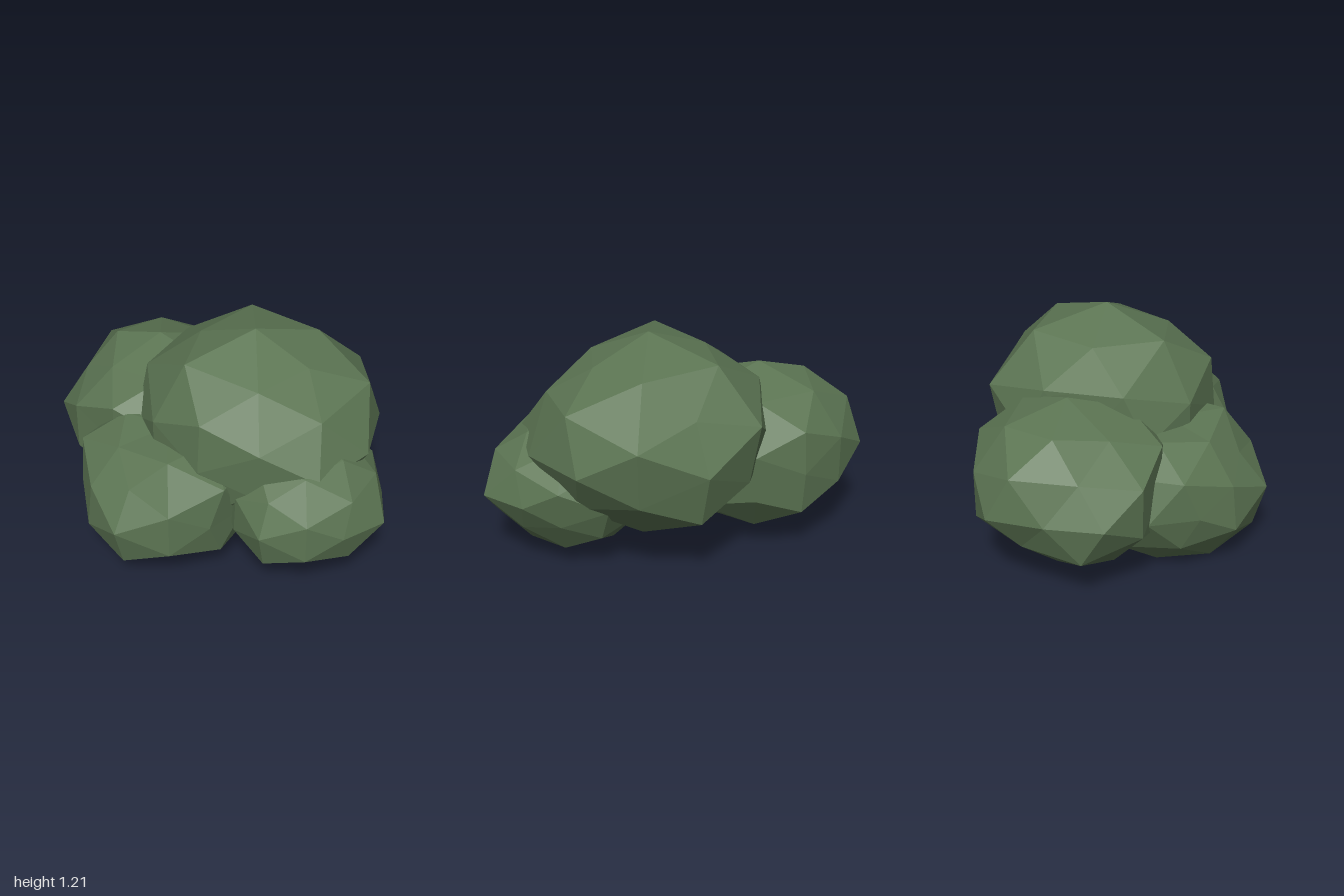
import * as THREE from 'three';

const leafGreen = new THREE.MeshStandardMaterial({ color: 0x5c7553 });
leafGreen.name = 'leafGreen';

const SQUASH = 0.8; // every clump is a little flatter than it is wide

// A faceted clump: a 42-corner ball whose corners are pulled in or out.
// Each bump is [direction x, y, z, radius]; all other corners keep the base radius.
function clump(name, centre, base, bumps) {
  const geometry = new THREE.IcosahedronGeometry(1, 1);
  const pulls = bumps.map(([x, y, z, r]) => ({ dir: new THREE.Vector3(x, y, z).normalize(), r }));
  const pos = geometry.attributes.position;
  const v = new THREE.Vector3();
  for (let i = 0; i < pos.count; i++) {
    v.fromBufferAttribute(pos, i).normalize();
    const pull = pulls.find((p) => p.dir.dot(v) > 0.97);
    v.multiplyScalar(pull ? pull.r : base);
    pos.setXYZ(i, v.x, v.y * SQUASH, v.z);
  }
  geometry.computeVertexNormals(); // unshared corners give flat facets
  const mesh = new THREE.Mesh(geometry, leafGreen);
  mesh.name = name;
  mesh.position.set(...centre);
  return mesh;
}

export function createModel() {
  const bush = new THREE.Group();
  bush.name = 'bush';

  // Tall clump in the middle
  bush.add(clump('mainClump', [0.13, 0.67, -0.14], 0.63, [
    [0, 1, 0, 0.685], [1, 0, 0, 0.68], [-1, 0, 0, 0.55], [0, 0, 1, 0.59], [0, 0, -1, 0.65],
    [-0.31, 0.81, 0.5, 0.7], [0.31, 0.81, 0.5, 0.6],
    [-0.31, 0.81, -0.5, 0.69], [0.31, 0.81, -0.5, 0.66],
    [0.53, 0.85, 0, 0.6],
    [0, 0.53, 0.85, 0.665], [0, 0.53, -0.85, 0.6], [0, -0.53, -0.85, 0.68],
    [0.81, 0.5, 0.31, 0.61], [0.81, 0.5, -0.31, 0.7],
    [-0.81, 0.5, 0.31, 0.67], [-0.81, 0.5, -0.31, 0.67],
    [0.5, 0.31, 0.81, 0.6], [0.5, -0.31, 0.81, 0.58],
    [0.5, 0.31, -0.81, 0.7], [-0.5, 0.31, -0.81, 0.69],
    [0.85, 0, -0.53, 0.68], [0.85, 0, 0.53, 0.68],
  ]));

  // Clump at the back on the model's right
  bush.add(clump('rightClump', [-0.5, 0.5, -0.2], 0.55, [
    [0, 1, 0, 0.575], [-1, 0, 0, 0.5], [0, 0, 1, 0.48], [0, 0, -1, 0.49], [0, -1, 0, 0.565],
    [-0.81, 0.5, 0.31, 0.49], [-0.81, 0.5, -0.31, 0.57],
    [-0.81, -0.5, 0.31, 0.555], [-0.81, -0.5, -0.31, 0.48],
    [-0.85, 0, 0.53, 0.565], [-0.85, 0, -0.53, 0.565],
    [-0.53, -0.85, 0, 0.5], [-0.31, -0.81, -0.5, 0.5],
    [-0.31, 0.81, 0.5, 0.5], [0, 0.53, 0.85, 0.57],
    [-0.5, 0.31, -0.81, 0.52], [-0.5, -0.31, -0.81, 0.52],
    [0.5, -0.31, -0.81, 0.52], [0.85, 0, -0.53, 0.48],
  ]));

  // Low clump in front
  bush.add(clump('frontClump', [-0.17, 0.375, 0.25], 0.51, [
    [0, 1, 0, 0.44], [0, -1, 0, 0.465], [0, 0, 1, 0.535], [1, 0, 0, 0.47],
    [-0.81, 0.5, 0.31, 0.545], [0.81, 0.5, 0.31, 0.545], [-0.81, -0.5, 0.31, 0.48],
    [-0.31, 0.81, 0.5, 0.49], [0.31, 0.81, 0.5, 0.545], [0, 0.53, 0.85, 0.45],
    [0, -0.53, 0.85, 0.55], [0.53, -0.85, 0, 0.48],
    [-0.31, -0.81, 0.5, 0.54], [0.31, -0.81, 0.5, 0.47], [-0.31, -0.81, -0.5, 0.54],
    [-0.5, 0.31, 0.81, 0.48], [0.85, 0, 0.53, 0.47], [-0.85, 0, 0.53, 0.47],
  ]));

  // Small clump on the model's left
  bush.add(clump('leftClump', [0.51, 0.41, 0.03], 0.45, [
    [1, 0, 0, 0.49], [0, -1, 0, 0.415], [0, 0, -1, 0.47],
    [0, 0.53, 0.85, 0.42], [0, 0.53, -0.85, 0.42], [0, -0.53, 0.85, 0.47],
    [0.85, 0, 0.53, 0.435], [0.85, 0, -0.53, 0.435],
    [0.31, -0.81, 0.5, 0.42], [-0.53, -0.85, 0, 0.475],
    [0.5, 0.31, -0.81, 0.47], [0.5, -0.31, -0.81, 0.41], [0.81, -0.5, -0.31, 0.41],
    [-0.85, 0, 0.53, 0.41], [-0.81, 0.5, 0.31, 0.41], [-0.81, -0.5, 0.31, 0.42],
    [-0.5, 0.31, 0.81, 0.41], [-0.5, -0.31, 0.81, 0.42],
  ]));

  return bush;
}
